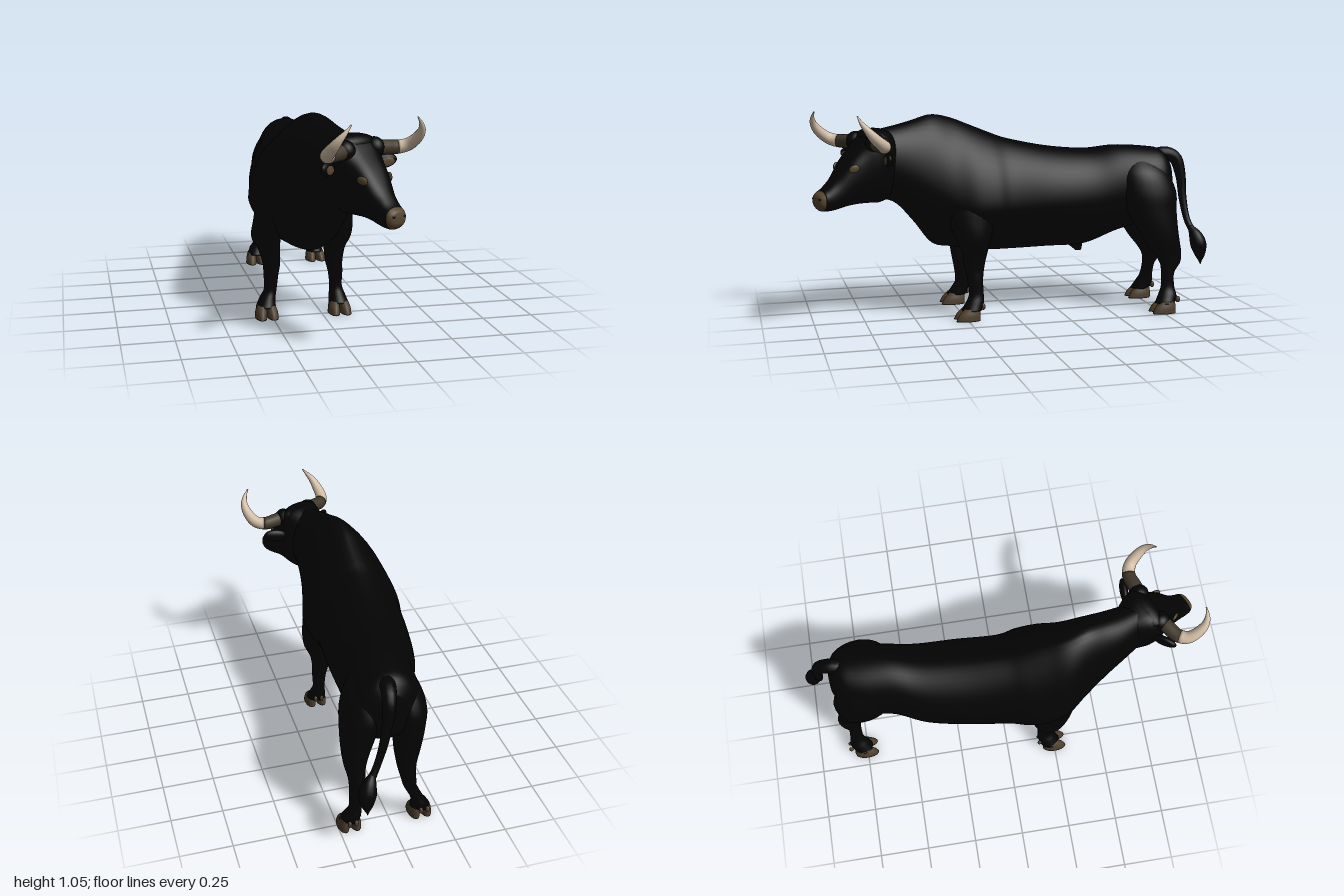
import * as THREE from 'three';

const mat = (name, color) => {
  const m = new THREE.MeshStandardMaterial({ color });
  m.name = name;
  return m;
};

// Catmull-Rom sample of a table of numbers, u in row units
function sample(rows, u) {
  const n = rows.length - 1, i = Math.min(Math.floor(u), n - 1), t = u - i;
  const [a, b, c, d] = [i - 1, i, i + 1, i + 2].map(k => rows[Math.min(Math.max(k, 0), n)]);
  return b.map((_, k) => b[k] + 0.5 * t * (c[k] - a[k] + t * (2 * a[k] - 5 * b[k] + 4 * c[k] - d[k]
    + t * (3 * (b[k] - c[k]) + d[k] - a[k]))));
}

// Closed skin over rings of points; turned outwards by its signed volume
function skin(rings) {
  const m = rings[0].length;
  const mid = r => r.reduce((s, p) => s.add(p), new THREE.Vector3()).divideScalar(m);
  const all = [rings[0].map(() => mid(rings[0])), ...rings, rings[0].map(() => mid(rings[rings.length - 1]))];
  const pts = all.flat(), idx = [];
  for (let i = 0; i < all.length - 1; i++) for (let j = 0; j < m; j++) {
    const a = i * m + j, b = i * m + (j + 1) % m, c = a + m, d = b + m;
    if (i > 0) idx.push(a, b, c);
    if (i < all.length - 2) idx.push(b, d, c);
  }
  let vol = 0;
  for (let k = 0; k < idx.length; k += 3)
    vol += pts[idx[k]].dot(new THREE.Vector3().crossVectors(pts[idx[k + 1]], pts[idx[k + 2]]));
  if (vol < 0) idx.reverse();
  const g = new THREE.BufferGeometry().setFromPoints(pts);
  g.setIndex(idx);
  g.computeVertexNormals();
  return g;
}

function loft(rows, ring, sides = 32, u0 = 0, u1 = rows.length - 1, sub = 5) {
  const steps = Math.ceil((u1 - u0) * sub), rings = [];
  for (let i = 0; i <= steps; i++) {
    const row = sample(rows, u0 + (u1 - u0) * i / steps);
    rings.push(Array.from({ length: sides }, (_, j) => ring(row, j / sides * Math.PI * 2)));
  }
  return skin(rings);
}

const pw = (v, e) => Math.sign(v) * Math.abs(v) ** (2 / e);

// Upright section: [z, x, halfWidth, top, bottom, widestY, upperRoundness, lowerRoundness]
const trunkRing = ([z, x, w, top, bot, yc, eUp, eLow], a) => {
  const s = Math.sin(a), c = Math.cos(a), k = s > 0 ? eUp : eLow;
  return new THREE.Vector3(x + w * pw(c, k), yc + (s > 0 ? top - yc : yc - bot) * pw(s, k), z);
};
// Level section: [y, x, z, radiusX, radiusZ]
const legRing = ([y, x, z, rx, rz], a) => new THREE.Vector3(x + rx * Math.cos(a), y, z + rz * Math.sin(a));

// Tapered round sweep along part of a curve
function sweep(points, radii, u0 = 0, u1 = 1, sides = 16, steps = 28) {
  const curve = new THREE.CatmullRomCurve3(points.map(p => new THREE.Vector3(...p)));
  const f = curve.computeFrenetFrames(steps), rows = radii.map(r => [r]), rings = [];
  for (let i = 0; i <= steps; i++) {
    const u = i / steps;
    if (u < u0 - 1e-6 || u > u1 + 1e-6) continue;
    const p = curve.getPointAt(u), r = sample(rows, u * (rows.length - 1))[0];
    rings.push(Array.from({ length: sides }, (_, j) => {
      const a = j / sides * Math.PI * 2;
      return p.clone().addScaledVector(f.normals[i], r * Math.cos(a)).addScaledVector(f.binormals[i], r * Math.sin(a));
    }));
  }
  return skin(rings);
}

export function createModel() {
  const hide = mat('black hide', 0x030303), hoofMat = mat('hoof brown', 0x4c3e2d);
  const skinMat = mat('bare skin brown', 0x57462f), hornBase = mat('horn base brown', 0x40372a);
  const hornMat = mat('horn ivory', 0xd0bca4);
  const model = new THREE.Group();
  model.name = 'bull';
  const add = (parent, name, geo, m) => {
    const mesh = new THREE.Mesh(geo, m);
    mesh.name = name;
    parent.add(mesh);
    return mesh;
  };
  const blob = (parent, name, m, p, s) => {
    const b = add(parent, name, new THREE.SphereGeometry(1, 20, 14), m);
    b.position.set(...p);
    b.scale.set(...s);
    return b;
  };

  // Trunk and neck, with a keeled belly
  add(model, 'trunk', loft([
    [0.73, 0.04, 0.085, 0.95, 0.63, 0.8, 2, 2], [0.6, -0.012, 0.118, 0.972, 0.6, 0.78, 2, 2],
    [0.5, -0.04, 0.143, 0.995, 0.5, 0.73, 1.9, 2], [0.4, -0.065, 0.178, 1.02, 0.375, 0.66, 1.75, 1.8],
    [0.3, -0.09, 0.225, 1.003, 0.345, 0.6, 1.65, 1.55], [0.2, -0.09, 0.25, 0.965, 0.332, 0.57, 1.65, 1.5],
    [0.1, -0.09, 0.248, 0.925, 0.318, 0.57, 1.7, 1.45], [0, -0.088, 0.224, 0.89, 0.317, 0.57, 1.8, 1.5],
    [-0.2, -0.068, 0.216, 0.85, 0.325, 0.58, 1.85, 1.6], [-0.4, -0.045, 0.196, 0.834, 0.335, 0.59, 1.9, 1.7],
    [-0.55, -0.01, 0.17, 0.85, 0.4, 0.62, 2, 1.9], [-0.7, 0.01, 0.165, 0.843, 0.45, 0.63, 2.1, 2.1],
    [-0.79, 0.02, 0.135, 0.825, 0.5, 0.65, 2.1, 2.1], [-0.838, 0.025, 0.07, 0.765, 0.56, 0.66, 2, 2]
  ], trunkRing, 48), hide);
  add(model, 'sheath', loft([[0.37, -0.05, -0.32, 0.035, 0.08], [0.33, -0.05, -0.36, 0.022, 0.04],
    [0.298, -0.05, -0.378, 0.01, 0.016]], legRing, 16), hide);

  // Legs: [y, xLeft, xRight, z, radiusX, radiusZ]
  const fore = [
    [0.72, 0.0, -0.17, 0.21, 0.05, 0.07], [0.62, 0.04, -0.225, 0.215, 0.092, 0.125], [0.5, 0.07, -0.245, 0.22, 0.084, 0.115],
    [0.4, 0.082, -0.27, 0.212, 0.073, 0.085], [0.33, 0.072, -0.255, 0.206, 0.053, 0.063],
    [0.26, 0.069, -0.245, 0.207, 0.043, 0.05], [0.2, 0.077, -0.247, 0.205, 0.036, 0.04],
    [0.13, 0.081, -0.25, 0.2, 0.031, 0.037], [0.09, 0.085, -0.265, 0.208, 0.039, 0.045], [0.05, 0.09, -0.277, 0.225, 0.049, 0.052]
  ];
  const hind = [
    [0.79, 0.075, -0.035, -0.66, 0.04, 0.06], [0.72, 0.105, -0.068, -0.675, 0.078, 0.12],
    [0.62, 0.122, -0.085, -0.695, 0.094, 0.147], [0.52, 0.143, -0.092, -0.71, 0.08, 0.13],
    [0.43, 0.163, -0.087, -0.735, 0.061, 0.108], [0.36, 0.172, -0.075, -0.76, 0.047, 0.092],
    [0.3, 0.169, -0.072, -0.79, 0.038, 0.073], [0.25, 0.171, -0.08, -0.802, 0.034, 0.054],
    [0.2, 0.173, -0.092, -0.79, 0.031, 0.034], [0.13, 0.175, -0.125, -0.79, 0.03, 0.035],
    [0.09, 0.185, -0.142, -0.785, 0.039, 0.047], [0.05, 0.196, -0.154, -0.768, 0.048, 0.05]
  ];
  for (const [name, rows, hoofZ] of [['front', fore, 0.242], ['hind', hind, -0.762]])
    for (const [side, col] of [['Left', 1], ['Right', 2]]) {
      const leg = new THREE.Group();
      leg.name = name + side + 'Leg';
      model.add(leg);
      add(leg, 'leg', loft(rows.map(r => [r[0], r[col], r[3], r[4], r[5]]), legRing, 24), hide);
      const x = rows[rows.length - 1][col];
      for (const s of [-1, 1]) {
        // Cloven hoof halves and dewclaws
        add(leg, 'hoofHalf', loft([[0, x + s * 0.029, hoofZ + 0.008, 0.028, 0.062], [0.03, x + s * 0.027, hoofZ, 0.027, 0.055],
          [0.06, x + s * 0.022, hoofZ - 0.014, 0.022, 0.038]], legRing, 20), hoofMat);
        blob(leg, 'dewclaw', hoofMat, [x + s * 0.016, 0.066, hoofZ - 0.071], [0.01, 0.017, 0.012]);
      }
    }

  // Tail and tuft
  const tail = new THREE.Group();
  tail.name = 'tail';
  model.add(tail);
  add(tail, 'tailStem', sweep([[0.025, 0.77, -0.73], [0.035, 0.802, -0.8], [0.048, 0.782, -0.866], [0.06, 0.7, -0.895],
    [0.08, 0.57, -0.904], [0.115, 0.46, -0.917], [0.155, 0.39, -0.942]], [0.035, 0.036, 0.031, 0.024, 0.02, 0.017, 0.018]), hide);
  add(tail, 'tailTuft', sweep([[0.135, 0.43, -0.925], [0.16, 0.38, -0.948], [0.172, 0.32, -0.963], [0.172, 0.235, -0.972]],
    [0.014, 0.033, 0.041, 0.027, 0.002]), hide);

  // Head, turned to its left
  const head = new THREE.Group();
  head.name = 'head';
  head.position.set(0.026, 0, 0.68);
  head.rotation.y = 0.45;
  model.add(head);
  const face = [
    [-0.09, 0, 0.08, 0.94, 0.63, 0.8, 2.1, 2.1], [0, 0, 0.12, 0.967, 0.605, 0.82, 2.8, 2.1],
    [0.06, 0, 0.122, 0.948, 0.607, 0.82, 3, 2.1], [0.12, -0.002, 0.101, 0.89, 0.608, 0.78, 2.8, 2.1],
    [0.18, -0.004, 0.083, 0.828, 0.603, 0.73, 2.8, 2.1], [0.24, -0.007, 0.066, 0.752, 0.592, 0.67, 2.3, 2.2],
    [0.285, -0.01, 0.059, 0.706, 0.588, 0.645, 2.3, 2.3], [0.315, -0.012, 0.053, 0.685, 0.592, 0.642, 2.3, 2.3],
    [0.333, -0.012, 0.038, 0.67, 0.612, 0.641, 2.3, 2.3], [0.338, -0.012, 0.012, 0.65, 0.632, 0.641, 2.3, 2.3]
  ];
  add(head, 'skull', loft(face, trunkRing, 36, 0, 6.8), hide);
  add(head, 'muzzle', loft(face, trunkRing, 36, 6.8, 9, 8), skinMat);
  blob(head, 'pollTuft', hide, [0, 0.925, 0.03], [0.11, 0.042, 0.055]);

  const horn = [[0.07, 0.9, 0.065], [0.14, 0.898, 0.075], [0.19, 0.895, 0.085], [0.23, 0.905, 0.118],
    [0.243, 0.94, 0.167], [0.237, 0.98, 0.204], [0.215, 1.015, 0.223], [0.19, 1.045, 0.228]];
  for (const [side, s] of [['left', 1], ['right', -1]]) {
    const pts = horn.map(([x, y, z]) => [s * x, y, z]), radii = [0.037, 0.035, 0.033, 0.029, 0.024, 0.014, 0.003];
    add(head, side + 'HornBase', sweep(pts, radii, 0, 10 / 28), hornBase);
    add(head, side + 'Horn', sweep(pts, radii, 10 / 28, 1), hornMat);
    blob(head, side + 'HornCollar', hide, [s * 0.085, 0.9, 0.062], [0.046, 0.05, 0.05]);
    // Ears with bare inner face
    const ear = new THREE.Group();
    ear.name = side + 'Ear';
    ear.position.set(s * 0.16, 0.828, 0.04);
    ear.rotation.set(0, -s * 0.45, s * 0.15);
    head.add(ear);
    blob(ear, 'earShell', hide, [0, 0, 0], [0.065, 0.033, 0.02]);
    blob(ear, 'innerEar', skinMat, [s * 0.012, -0.005, 0.0165], [0.038, 0.021, 0.005]);
    // Eyes and nostrils
    const eye = blob(head, side + 'Eye', skinMat, [s * 0.078 - 0.004, 0.787, 0.176], [0.009, 0.02, 0.026]);
    eye.rotation.set(0.35, -s * 0.35, 0);
    blob(head, side + 'Nostril', hide, [s * 0.028 - 0.012, 0.65, 0.332], [0.01, 0.008, 0.005]);
  }
  return model;
}
